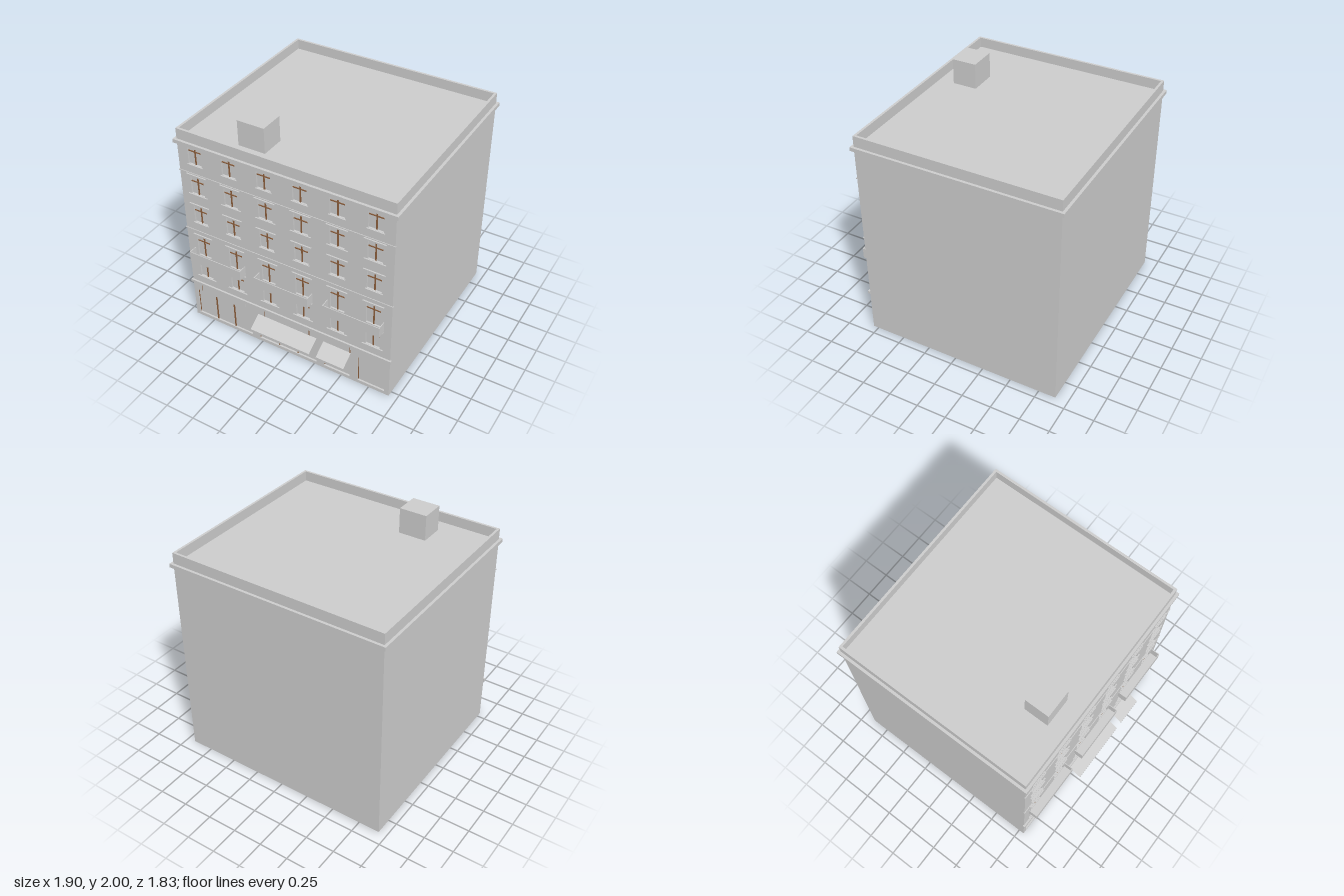
import * as THREE from 'three';

export function createModel() {
  const model = new THREE.Group();
  const stone = new THREE.MeshStandardMaterial({ color: 0xcccccc });
  stone.name = 'greyStone';
  const cloth = new THREE.MeshStandardMaterial({ color: 0xcccccc, side: THREE.DoubleSide });
  cloth.name = 'greyCloth';
  const wood = new THREE.MeshStandardMaterial({ color: 0x8b5e3c });
  wood.name = 'brownWood';

  const W = 0.93, FRONT = 0.797, BACK = -0.895, T = 0.02, TOP = 1.87;
  const MID = (FRONT + BACK) / 2, DEPTH = FRONT - BACK;

  // box from its minimum and maximum corners
  function box(name, x0, x1, y0, y1, z0, z1, mat = stone, parent = model) {
    const m = new THREE.Mesh(new THREE.BoxGeometry(x1 - x0, y1 - y0, z1 - z0), mat);
    m.position.set((x0 + x1) / 2, (y0 + y1) / 2, (z0 + z1) / 2);
    m.name = name;
    parent.add(m);
    return m;
  }
  function rect(target, x0, x1, y0, y1) {
    target.moveTo(x0, y0);
    target.lineTo(x1, y0);
    target.lineTo(x1, y1);
    target.lineTo(x0, y1);
    target.closePath();
    return target;
  }

  // window rows: bottom, top, lintel, sill half width
  const columns = [-0.775, -0.465, -0.155, 0.155, 0.465, 0.775];
  const rows = [
    { y0: 0.468, y1: 0.63, lintel: true, sill: 0.09 },
    { y0: 0.69, y1: 0.882, lintel: true, sill: 0 },
    { y0: 1.028, y1: 1.187, lintel: true, sill: 0.072 },
    { y0: 1.307, y1: 1.468, lintel: true, sill: 0.09 },
    { y0: 1.585, y1: 1.747, lintel: false, sill: 0.072 },
  ];
  // shop openings with their mullions
  const shops = [
    { x0: -0.895, x1: -0.35, bars: [-0.71, -0.53] },
    { x0: -0.28, x1: 0.272, bars: [-0.092, 0.088] },
    { x0: 0.34, x1: 0.58, bars: [] },
    { x0: 0.65, x1: 0.89, bars: [] },
  ];
  const SHOP0 = 0.03, SHOP1 = 0.283, HALF = 0.062;

  // front wall with openings
  const facade = rect(new THREE.Shape(), -W, W, 0, TOP);
  for (const r of rows) {
    for (const x of columns) facade.holes.push(rect(new THREE.Path(), x - HALF, x + HALF, r.y0, r.y1));
  }
  for (const s of shops) facade.holes.push(rect(new THREE.Path(), s.x0, s.x1, SHOP0, SHOP1));
  const front = new THREE.Mesh(new THREE.ExtrudeGeometry(facade, { depth: T, bevelEnabled: false }), stone);
  front.position.z = FRONT - T;
  front.name = 'frontWall';
  model.add(front);

  // other walls, open below, and the sunken roof
  box('rightWall', -W, -W + T, 0, TOP, BACK, FRONT - T);
  box('leftWall', W - T, W, 0, TOP, BACK, FRONT - T);
  box('backWall', -W + T, W - T, 0, TOP, BACK, BACK + T);
  box('roof', -W + T, W - T, 1.765, 1.785, BACK + T, FRONT - T);
  box('chimney', -0.47, -0.235, 1.785, 2, 0.44, 0.645);

  // cornice ring around the top
  const ring = rect(new THREE.Shape(), -W - 0.022, W + 0.022, -DEPTH / 2 - 0.022, DEPTH / 2 + 0.022);
  ring.holes.push(rect(new THREE.Path(), -W, W, -DEPTH / 2, DEPTH / 2));
  const cornice = new THREE.Mesh(new THREE.ExtrudeGeometry(ring, { depth: 0.031, bevelEnabled: false }), stone);
  cornice.rotation.x = -Math.PI / 2;
  cornice.position.set(0, 1.748, MID);
  cornice.name = 'cornice';
  model.add(cornice);

  // horizontal bands on the front
  box('shopBand', -W - 0.01, W + 0.01, 0.365, 0.39, FRONT - 0.005, FRONT + 0.015);
  for (const y of [0.94, 1.5]) {
    box('stringCourse', -W - 0.006, W + 0.006, y - 0.004, y + 0.004, FRONT - 0.005, FRONT + 0.006);
  }

  // windows
  const paneZ = FRONT - T + 0.001;
  for (const r of rows) {
    for (const x of columns) {
      const g = new THREE.Group();
      g.name = 'window';
      model.add(g);
      box('pane', x - HALF, x + HALF, r.y0, r.y1, paneZ, paneZ + 0.004, stone, g);
      box('mullion', x - 0.005, x + 0.005, r.y0, r.y1, paneZ, paneZ + 0.011, wood, g);
      const ty = r.y1 - 0.048;
      box('transom', x - HALF, x + HALF, ty - 0.004, ty + 0.004, paneZ, paneZ + 0.010, wood, g);
      if (r.lintel) {
        box('lintel', x - 0.082, x + 0.082, r.y1 + 0.004, r.y1 + 0.013, FRONT - 0.005, FRONT + 0.006, stone, g);
        box('lintelCap', x - 0.09, x + 0.09, r.y1 + 0.013, r.y1 + 0.022, FRONT - 0.005, FRONT + 0.011, stone, g);
      }
      if (r.sill) box('sill', x - r.sill, x + r.sill, r.y0 - 0.01, r.y0 - 0.001, FRONT - 0.005, FRONT + 0.01, stone, g);
    }
  }

  // shop windows
  for (const s of shops) {
    const g = new THREE.Group();
    g.name = 'shopWindow';
    model.add(g);
    box('pane', s.x0, s.x1, SHOP0, SHOP1, paneZ, paneZ + 0.004, stone, g);
    for (const x of s.bars) box('mullion', x - 0.005, x + 0.005, SHOP0, SHOP1, paneZ, paneZ + 0.012, wood, g);
    box('topRail', s.x0, s.x1, SHOP1 - 0.006, SHOP1, paneZ, paneZ + 0.012, wood, g);
    for (const x of [s.x0, s.x1 - 0.005]) box('jamb', x, x + 0.005, SHOP0, SHOP1, paneZ, paneZ + 0.008, wood, g);
  }

  // blank sign boards with wooden ends
  for (const [x0, x1, ends] of [[-0.84, -0.4, [-0.84]], [-0.22, 0.212, [-0.22, 0.207]], [0.35, 0.585, [0.58]]]) {
    box('signBoard', x0, x1, 0.3, 0.355, FRONT - 0.005, FRONT + 0.005);
    for (const x of ends) box('signEnd', x, x + 0.005, 0.299, 0.356, FRONT - 0.004, FRONT + 0.006, wood);
  }

  // awnings: a sloping sheet and a short hanging edge
  for (const [x0, x1] of [[-0.28, 0.275], [0.338, 0.588]]) {
    const g = new THREE.Group();
    g.name = 'awning';
    model.add(g);
    const drop = 0.073, reach = 0.915 - FRONT;
    const slope = new THREE.Mesh(new THREE.PlaneGeometry(x1 - x0, Math.hypot(drop, reach)), cloth);
    slope.rotation.x = -Math.atan2(reach, drop);
    slope.position.set((x0 + x1) / 2, 0.295 - drop / 2, FRONT + reach / 2);
    slope.name = 'awningSlope';
    const valance = new THREE.Mesh(new THREE.PlaneGeometry(x1 - x0, 0.022), cloth);
    valance.position.set((x0 + x1) / 2, 0.211, 0.915);
    valance.name = 'awningValance';
    g.add(slope, valance);
  }

  // balconies: floor with thin parapets
  for (const x of [-0.622, 0, 0.622]) {
    const g = new THREE.Group();
    g.name = 'balcony';
    model.add(g);
    const a = x - 0.245, b = x + 0.245, z = 0.873, t = 0.006;
    box('balconyFloor', a, b, 0.665, 0.675, FRONT, z, stone, g);
    box('balconyFront', a, b, 0.675, 0.757, z - t, z, stone, g);
    for (const s of [a, b - t]) box('balconySide', s, s + t, 0.675, 0.757, FRONT, z - t, stone, g);
  }
  return model;
}
